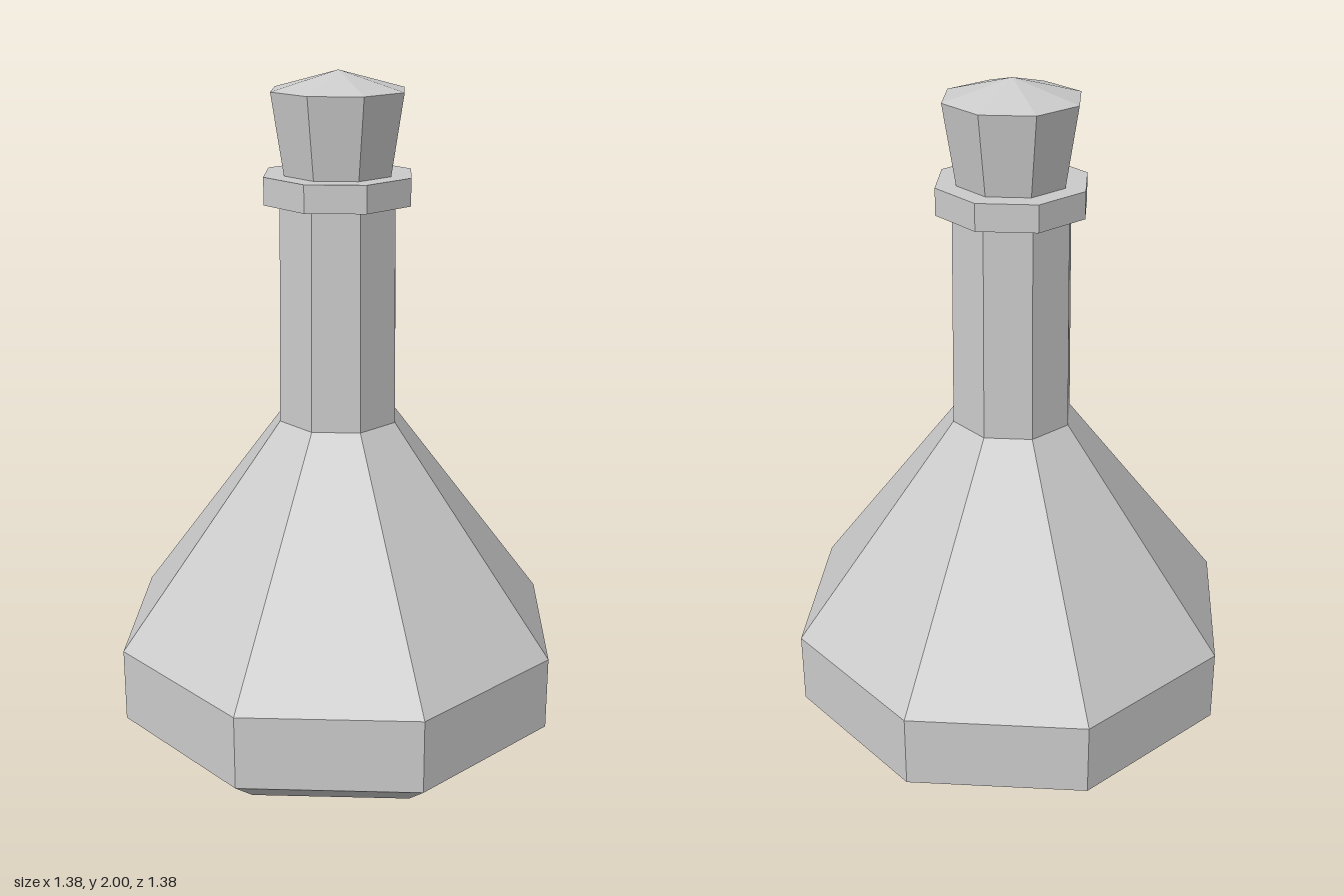
import * as THREE from 'three';

const SIDES = 8;

// Eight-sided turned part from [radius, height] pairs, listed bottom to top
function turned(name, profile, material) {
  const points = profile.map(([r, y]) => new THREE.Vector2(r, y));
  const mesh = new THREE.Mesh(new THREE.LatheGeometry(points, SIDES), material);
  mesh.name = name;
  return mesh;
}

export function createModel() {
  const group = new THREE.Group();
  group.name = 'flask';
  const glass = new THREE.MeshStandardMaterial({ color: 0xcccccc, flatShading: true });

  // Bevelled base, sloping shoulders and straight neck
  group.add(turned('body', [
    [0, 0], [0.59, 0], [0.69, 0.08], [0.69, 0.305], [0.185, 0.98], [0.178, 1.65],
  ], glass));

  // Collar around the mouth of the neck
  group.add(turned('collar', [
    [0, 1.63], [0.226, 1.63], [0.226, 1.71], [0, 1.71],
  ], glass));

  // Flared stopper with a shallow pointed top
  group.add(turned('stopper', [
    [0, 1.67], [0.158, 1.67], [0.202, 1.945], [0, 2],
  ], glass));

  return group;
}
